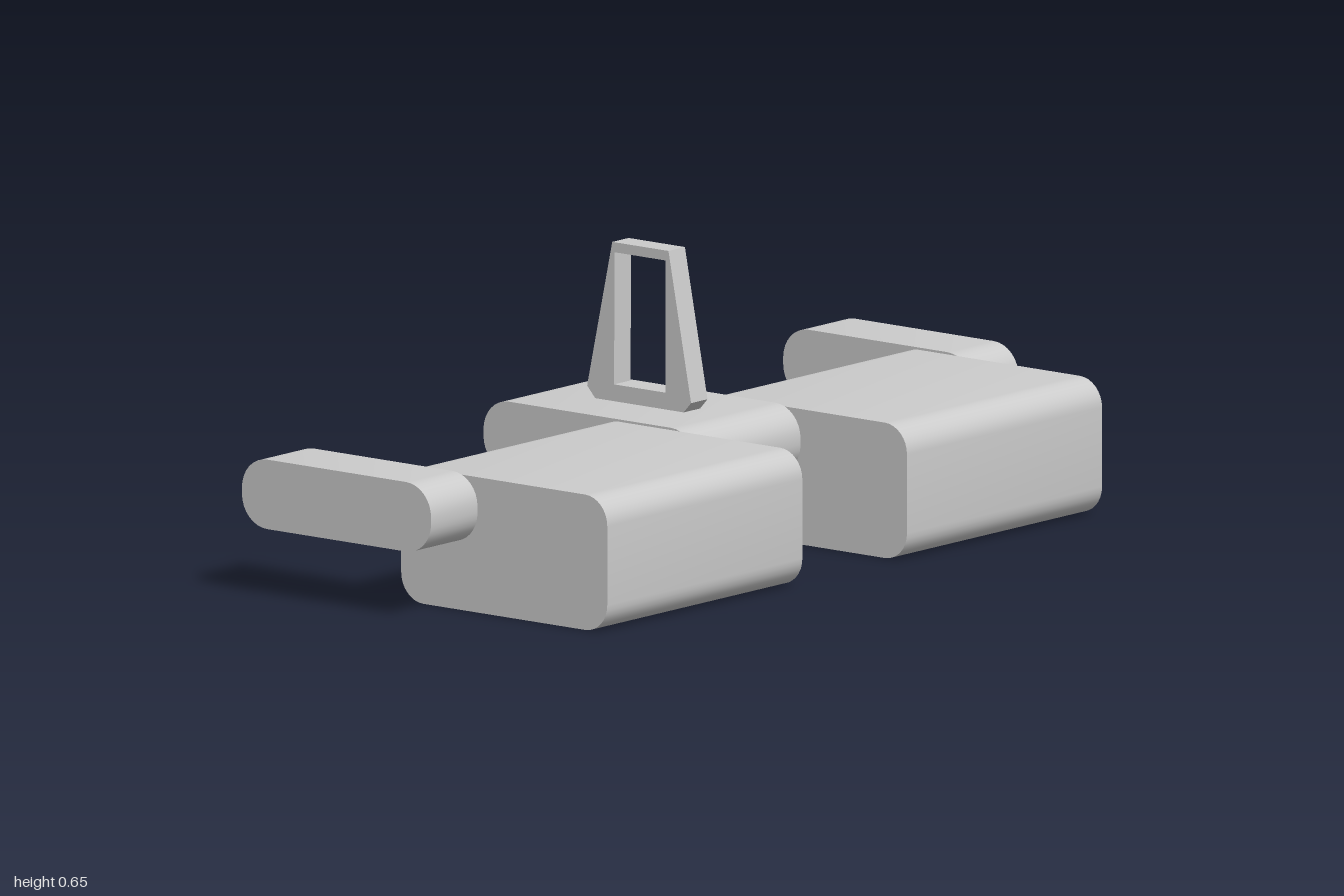
import * as THREE from 'three';
import { toCreasedNormals } from 'three/addons/utils/BufferGeometryUtils.js';

const material = new THREE.MeshStandardMaterial({ color: 0xcccccc });

// Extrude a side profile, drawn as (-z, y), from x0 to x1.
function extrudeAcross(name, shape, x0, x1, crease) {
  let geometry = new THREE.ExtrudeGeometry(shape, { depth: x1 - x0, bevelEnabled: false, curveSegments: 4 });
  geometry.rotateY(Math.PI / 2).translate(x0, 0, 0);
  if (crease) geometry = toCreasedNormals(geometry, crease);
  const mesh = new THREE.Mesh(geometry, material);
  mesh.name = name;
  return mesh;
}

// Rounded rectangle profile between two z and two y values.
function roundedProfile(zBack, zFront, y0, y1, r) {
  const a = -zFront, b = -zBack;
  const s = new THREE.Shape();
  s.moveTo(a + r, y0);
  s.lineTo(b - r, y0);
  s.absarc(b - r, y0 + r, r, -Math.PI / 2, 0);
  s.lineTo(b, y1 - r);
  s.absarc(b - r, y1 - r, r, 0, Math.PI / 2);
  s.lineTo(a + r, y1);
  s.absarc(a + r, y1 - r, r, Math.PI / 2, Math.PI);
  s.lineTo(a, y0 + r);
  s.absarc(a + r, y0 + r, r, Math.PI, Math.PI * 1.5);
  return s;
}

const points = (list) => list.map(([z, y]) => new THREE.Vector2(-z, y));

export function createModel() {
  const model = new THREE.Group();
  model.name = 'model';

  // Two large blocks with a slim pod outside each
  const block = roundedProfile(-0.13, 0.445, 0, 0.298, 0.062);
  const pod = roundedProfile(-0.445, 0.083, 0.15, 0.303, 0.07);
  for (const [side, s] of [['left', 1], ['right', -1]]) {
    const span = (p, q) => (s > 0 ? [p, q] : [-q, -p]);
    model.add(extrudeAcross(side + 'Block', block, ...span(0.178, 0.842), 0.6));
    model.add(extrudeAcross(side + 'Pod', pod, ...span(0.842, 1), 0.6));
  }

  // Centre bridge joining the blocks
  model.add(extrudeAcross('centreBridge', roundedProfile(-0.445, 0.148, 0.15, 0.303, 0.07), -0.178, 0.178, 0.6));

  // Upright tapered frame with an open window
  const frame = new THREE.Shape(points([
    [0.013, 0.326], [-0.012, 0.298], [-0.25, 0.298], [-0.277, 0.328], [-0.207, 0.653], [-0.05, 0.653],
  ]));
  frame.holes.push(new THREE.Path(points([[-0.058, 0.34], [-0.058, 0.631], [-0.2, 0.631], [-0.202, 0.34]])));
  model.add(extrudeAcross('uprightFrame', frame, -0.03, 0.026));

  return model;
}
